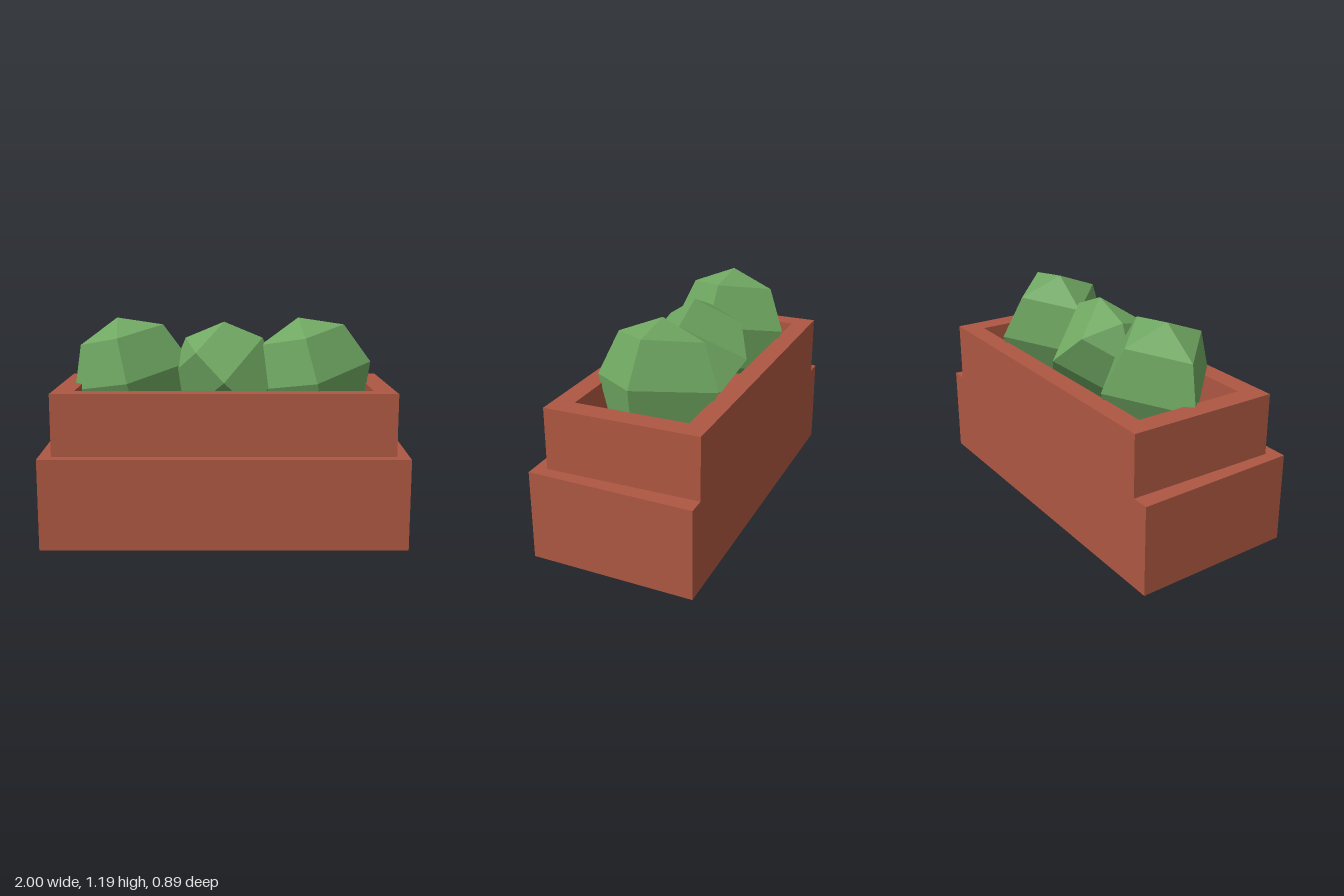
import * as THREE from 'three';

export function createModel() {
  const model = new THREE.Group();
  model.name = 'planter';

  const terracotta = new THREE.MeshStandardMaterial({ color: 0xad5741 });
  terracotta.name = 'terracotta';
  const leaf = new THREE.MeshStandardMaterial({ color: 0x70a862 });
  leaf.name = 'leaf green';
  leaf.flatShading = true;

  const add = (name, geometry, material) => {
    const mesh = new THREE.Mesh(geometry, material);
    mesh.name = name;
    model.add(mesh);
    return mesh;
  };

  // Corner list for a plan outline, widths may differ at back and front
  const plan = (backHalf, frontHalf, zBack, zFront) => [
    [-frontHalf, -zFront], [frontHalf, -zFront], [backHalf, -zBack], [-backHalf, -zBack],
  ].map(([x, y]) => new THREE.Vector2(x, y));

  // Raises a plan outline from y0 to y1, optionally with an opening
  const slab = (outline, y0, y1, opening) => {
    const shape = new THREE.Shape(outline);
    if (opening) shape.holes.push(new THREE.Path(opening));
    return new THREE.ExtrudeGeometry(shape, { depth: y1 - y0, bevelEnabled: false })
      .rotateX(-Math.PI / 2).translate(0, y0, 0);
  };

  // Box: slightly tapered base, stepped upper wall, sunken floor
  const opening = plan(0.79, 0.79, -0.34, 0.27);
  add('base', slab(plan(1, 0.97, -0.447, 0.447), 0, 0.487), terracotta);
  add('upperWall', slab(plan(0.905, 0.905, -0.447, 0.38), 0.487, 0.82, opening), terracotta);
  add('innerFloor', slab(opening, 0.487, 0.6), terracotta);

  // Bushes: tilted faceted balls [name, x, radius, tilt]
  for (const [name, x, radius, tilt] of [
    ['rightBush', -0.51, 0.335, 14],
    ['middleBush', 0, 0.302, 45],
    ['leftBush', 0.49, 0.335, 14],
  ]) {
    const bush = add(name, new THREE.SphereGeometry(radius, 4, 4), leaf);
    bush.position.set(x, 0.86, -0.033);
    bush.rotation.z = THREE.MathUtils.degToRad(tilt);
  }

  return model;
}
